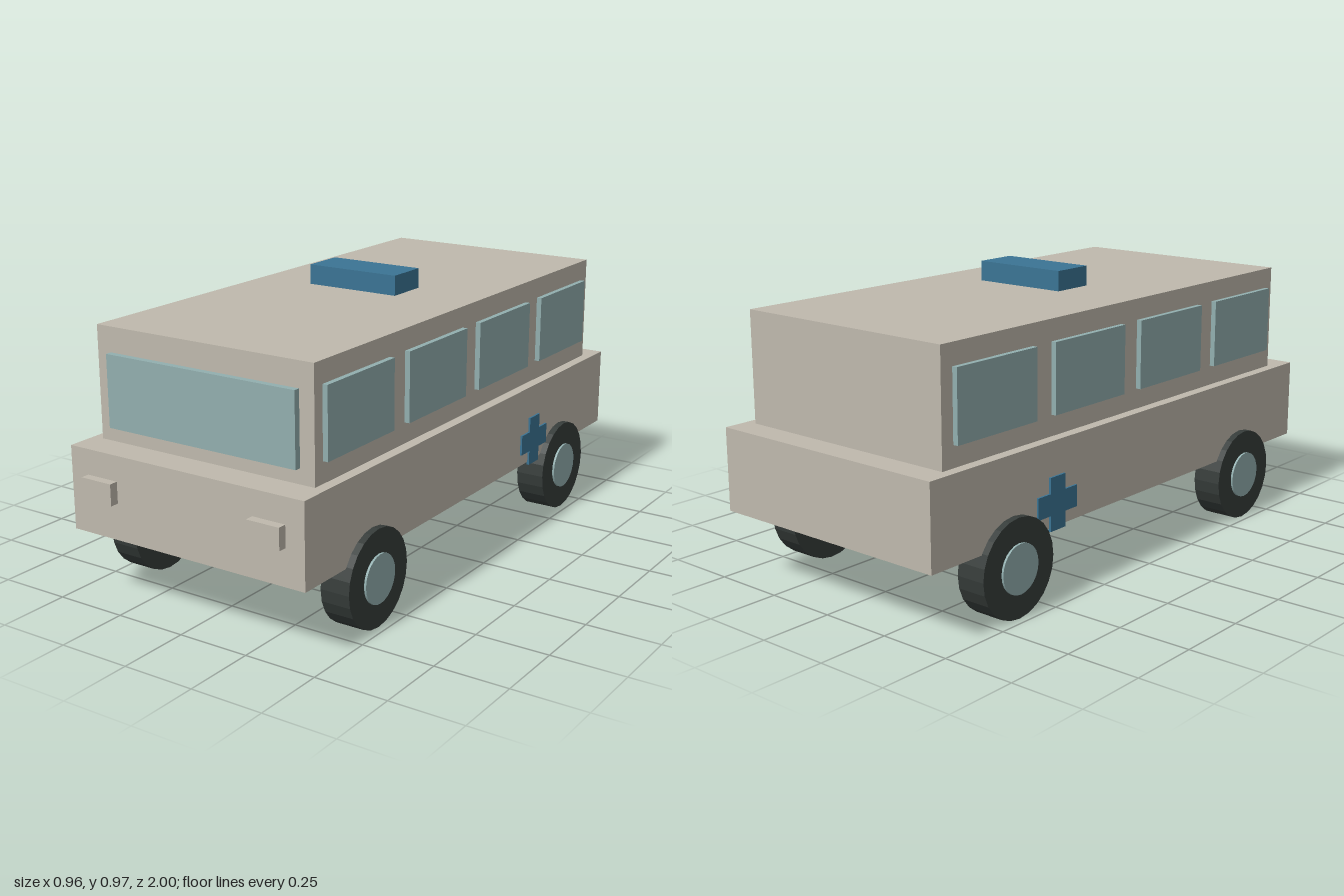
import * as THREE from 'three';

export function createModel() {
  const model = new THREE.Group();
  model.name = 'ambulanceVan';

  const material = (name, color) => {
    const m = new THREE.MeshStandardMaterial({ color });
    m.name = name;
    return m;
  };
  const paint = material('beige paint', 0xbfb9ad);
  const glass = material('pale teal glass', 0x92afaf);
  const blue = material('signal blue', 0x3b7494);
  const rubber = material('dark rubber', 0x363c3a);
  rubber.flatShading = true;

  const add = (name, geometry, mat, parent = model) => {
    const mesh = new THREE.Mesh(geometry, mat);
    mesh.name = name;
    parent.add(mesh);
    return mesh;
  };
  // Box given by its lower and upper limits on each axis
  const box = (name, mat, [x0, x1], [y0, y1], [z0, z1]) =>
    add(name, new THREE.BoxGeometry(x1 - x0, y1 - y0, z1 - z0), mat)
      .position.set((x0 + x1) / 2, (y0 + y1) / 2, (z0 + z1) / 2);

  // Body, cabin and roof light
  box('lowerBody', paint, [-0.45, 0.45], [0.24, 0.52], [-1, 0.97]);
  box('cabin', paint, [-0.413, 0.413], [0.52, 0.893], [-0.91, 0.865]);
  box('roofLight', blue, [-0.172, 0.172], [0.905, 0.973], [-0.088, 0.062]);
  box('windshield', glass, [-0.36, 0.36], [0.57, 0.81], [0.86, 0.887]);

  // Plus-shaped side emblem, extruded along its local z
  const a = 0.036, b = 0.095, h = 0.088;
  const plus = new THREE.Shape([
    [-a, -h], [a, -h], [a, -a], [b, -a], [b, a], [a, a],
    [a, h], [-a, h], [-a, a], [-b, a], [-b, -a], [-a, -a],
  ].map(([x, y]) => new THREE.Vector2(x, y)));
  const plusGeometry = new THREE.ExtrudeGeometry(plus, { depth: 0.009, bevelEnabled: false });

  const tyreGeometry = new THREE.CylinderGeometry(0.163, 0.163, 0.103, 24).rotateZ(Math.PI / 2);
  const hubGeometry = new THREE.CylinderGeometry(0.082, 0.082, 0.118, 24).rotateZ(Math.PI / 2);

  for (const side of [-1, 1]) {
    const label = side > 0 ? 'left' : 'right';
    const span = (lo, hi) => (side > 0 ? [lo, hi] : [-hi, -lo]);

    // Row of four side windows
    for (let i = 0; i < 4; i++) {
      const z = 0.647 - i * 0.4437;
      box(`${label}Window${i + 1}`, glass, span(0.408, 0.431), [0.59, 0.822], [z - 0.178, z + 0.178]);
    }

    box(`${label}Headlight`, paint, span(0.263, 0.382), [0.363, 0.435], [0.965, 1]);

    const cross = add(`${label}Cross`, plusGeometry, blue);
    cross.rotation.y = side * Math.PI / 2;
    cross.position.set(side * 0.448, 0.318, -0.437);

    // Wheels with hubs standing slightly proud of both tyre faces
    for (const [end, z] of [['Front', 0.62], ['Rear', -0.643]]) {
      const wheel = new THREE.Group();
      wheel.name = `${label}${end}Wheel`;
      wheel.position.set(side * 0.422, 0.163, z);
      add('tyre', tyreGeometry, rubber, wheel);
      add('hub', hubGeometry, glass, wheel);
      model.add(wheel);
    }
  }
  return model;
}
